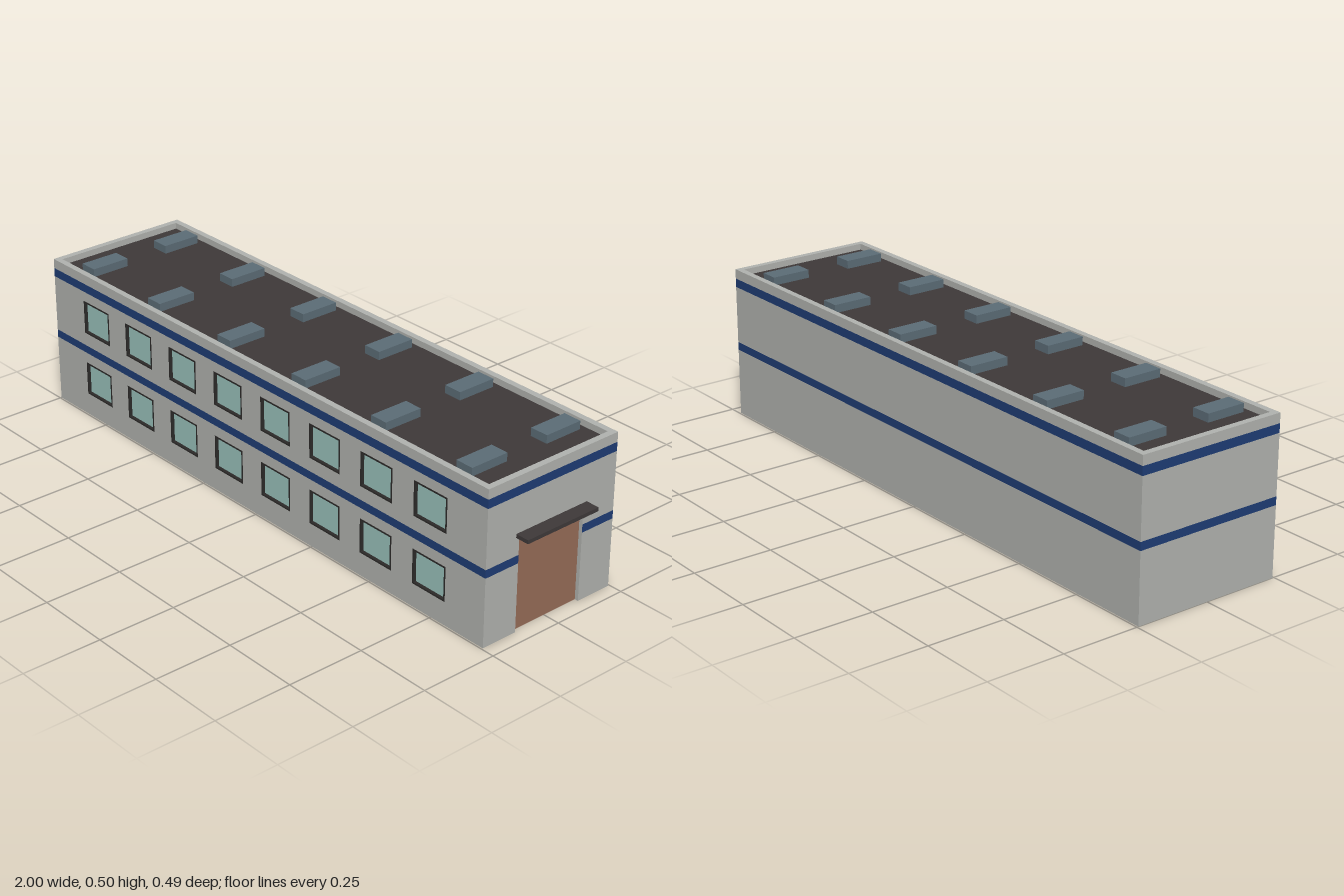
import * as THREE from 'three';

const paint = (name, color, side = THREE.FrontSide) => {
  const m = new THREE.MeshStandardMaterial({ color, side });
  m.name = name;
  return m;
};

export function createModel() {
  const mat = {
    wall: paint('wall grey', 0xb0b2ae, THREE.DoubleSide),
    stripe: paint('stripe blue', 0x1e3c74, THREE.DoubleSide),
    roof: paint('roof dark', 0x3e3939, THREE.DoubleSide),
    frame: paint('frame black', 0x2c2a29),
    glass: paint('glass teal', 0x98c0ba),
    skylight: paint('skylight slate', 0x5b6c76),
    door: paint('door brown', 0x966b57),
  };
  const X0 = -1, X1 = 0.956, CX = (X0 + X1) / 2, LEN = X1 - X0, HZ = 0.245, TOP = 0.49;
  const ROOF_Y = 0.47, RIM = 0.02, DOOR_HALF = 0.123, DOOR_TOP = 0.297, RECESS = 0.012;

  const model = new THREE.Group();
  model.name = 'building';

  const add = (parent, name, geo, material, x = 0, y = 0, z = 0) => {
    const mesh = new THREE.Mesh(geo, material);
    mesh.name = name;
    mesh.position.set(x, y, z);
    parent.add(mesh);
    return mesh;
  };
  const box = (parent, name, material, w, h, d, x, y, z) =>
    add(parent, name, new THREE.BoxGeometry(w, h, d), material, x, y, z);
  const rect = (Type, a0, a1, b0, b1) => new Type([
    new THREE.Vector2(a0, b0), new THREE.Vector2(a1, b0),
    new THREE.Vector2(a1, b1), new THREE.Vector2(a0, b1)]);
  const panel = (parent, name, material, a0, a1, b0, b1, holes = []) => {
    const shape = rect(THREE.Shape, a0, a1, b0, b1);
    shape.holes = holes.map(h => rect(THREE.Path, ...h));
    return add(parent, name, new THREE.ShapeGeometry(shape), material);
  };
  // A wall group whose local +z faces outwards
  const wallGroup = (name, x, z, angle) => {
    const g = new THREE.Group();
    g.name = name;
    g.position.set(x, 0, z);
    g.rotation.y = angle;
    model.add(g);
    return g;
  };

  // Horizontal courses of every wall, below the parapet
  const courses = [
    { name: 'lowerWall', y0: 0, y1: 0.219, m: mat.wall, win: [0.075, 0.185] },
    { name: 'lowerStripe', y0: 0.219, y1: 0.245, m: mat.stripe },
    { name: 'upperWall', y0: 0.245, y1: 0.431, m: mat.wall, win: [0.289, 0.399] },
    { name: 'upperStripe', y0: 0.431, y1: 0.459, m: mat.stripe },
  ];

  // Front wall with two rows of recessed windows
  const front = wallGroup('frontWall', CX, HZ, 0);
  const W = 0.13, B = 0.005;
  for (const c of courses) {
    const holes = [];
    for (let i = 0; c.win && i < 8; i++) {
      const u = -0.78 + 0.217 * i - CX;
      holes.push([u - W / 2, u + W / 2, ...c.win]);
    }
    panel(front, c.name, c.m, -LEN / 2, LEN / 2, c.y0, c.y1, holes);
    for (const [a0, a1, b0, b1] of holes) {
      const ring = rect(THREE.Shape, a0, a1, b0, b1);
      ring.holes = [rect(THREE.Path, a0 + B, a1 - B, b0 + B, b1 - B)];
      const geo = new THREE.ExtrudeGeometry(ring, { depth: RECESS + 0.001, bevelEnabled: false });
      add(front, 'windowFrame', geo, mat.frame, 0, 0, -RECESS);
      box(front, 'windowGlass', mat.glass, W - 2 * B, b1 - b0 - 2 * B, 0.002,
        (a0 + a1) / 2, (b0 + b1) / 2, -RECESS + 0.002);
    }
  }

  // Plain back and end walls
  const back = wallGroup('backWall', CX, -HZ, Math.PI);
  const end = wallGroup('rightEndWall', X0, 0, -Math.PI / 2);
  for (const c of courses) {
    panel(back, c.name, c.m, -LEN / 2, LEN / 2, c.y0, c.y1);
    panel(end, c.name, c.m, -HZ, HZ, c.y0, c.y1);
  }

  // Entrance wall, left open around the doorway
  const entry = wallGroup('entranceWall', X1, 0, Math.PI / 2);
  for (const c of courses) {
    if (c.y0 < DOOR_TOP) {
      panel(entry, c.name, c.m, -HZ, -DOOR_HALF, c.y0, c.y1);
      panel(entry, c.name, c.m, DOOR_HALF, HZ, c.y0, c.y1);
    }
    if (c.y1 > DOOR_TOP)
      panel(entry, c.name, c.m, c.y0 < DOOR_TOP ? -DOOR_HALF : -HZ,
        c.y0 < DOOR_TOP ? DOOR_HALF : HZ, Math.max(c.y0, DOOR_TOP), c.y1);
  }

  // Recessed door, its reveals and the canopy
  box(entry, 'door', mat.door, 2 * DOOR_HALF, DOOR_TOP, 0.008, 0, DOOR_TOP / 2, -RECESS - 0.004);
  for (const s of [-1, 1]) {
    const jamb = add(entry, 'doorJamb', new THREE.PlaneGeometry(RECESS, DOOR_TOP), mat.wall,
      s * DOOR_HALF, DOOR_TOP / 2, -RECESS / 2);
    jamb.rotation.y = -s * Math.PI / 2;
  }
  const lintel = add(entry, 'doorLintel', new THREE.PlaneGeometry(2 * DOOR_HALF, RECESS), mat.wall,
    0, DOOR_TOP, -RECESS / 2);
  lintel.rotation.x = Math.PI / 2;
  box(entry, 'canopy', mat.roof, 0.27, 0.012, 0.044, 0, 0.308, 0.022);

  // Parapet ring and sunken roof
  const rim = rect(THREE.Shape, X0, X1, -HZ, HZ);
  rim.holes = [rect(THREE.Path, X0 + RIM, X1 - RIM, -HZ + RIM, HZ - RIM)];
  const rimY = courses[3].y1;
  const parapet = add(model, 'parapet',
    new THREE.ExtrudeGeometry(rim, { depth: TOP - rimY, bevelEnabled: false }), mat.wall, 0, rimY, 0);
  parapet.rotation.x = -Math.PI / 2;
  const roof = add(model, 'roof', new THREE.PlaneGeometry(LEN - 2 * RIM, 2 * (HZ - RIM)), mat.roof, CX, ROOF_Y, 0);
  roof.rotation.x = -Math.PI / 2;

  // Two rows of skylights
  for (let i = 0; i < 6; i++)
    for (const s of [-1, 1])
      box(model, 'skylight', mat.skylight, 0.06, 0.026, 0.13, -0.87 + 0.3385 * i, ROOF_Y + 0.013, s * 0.14);

  return model;
}
